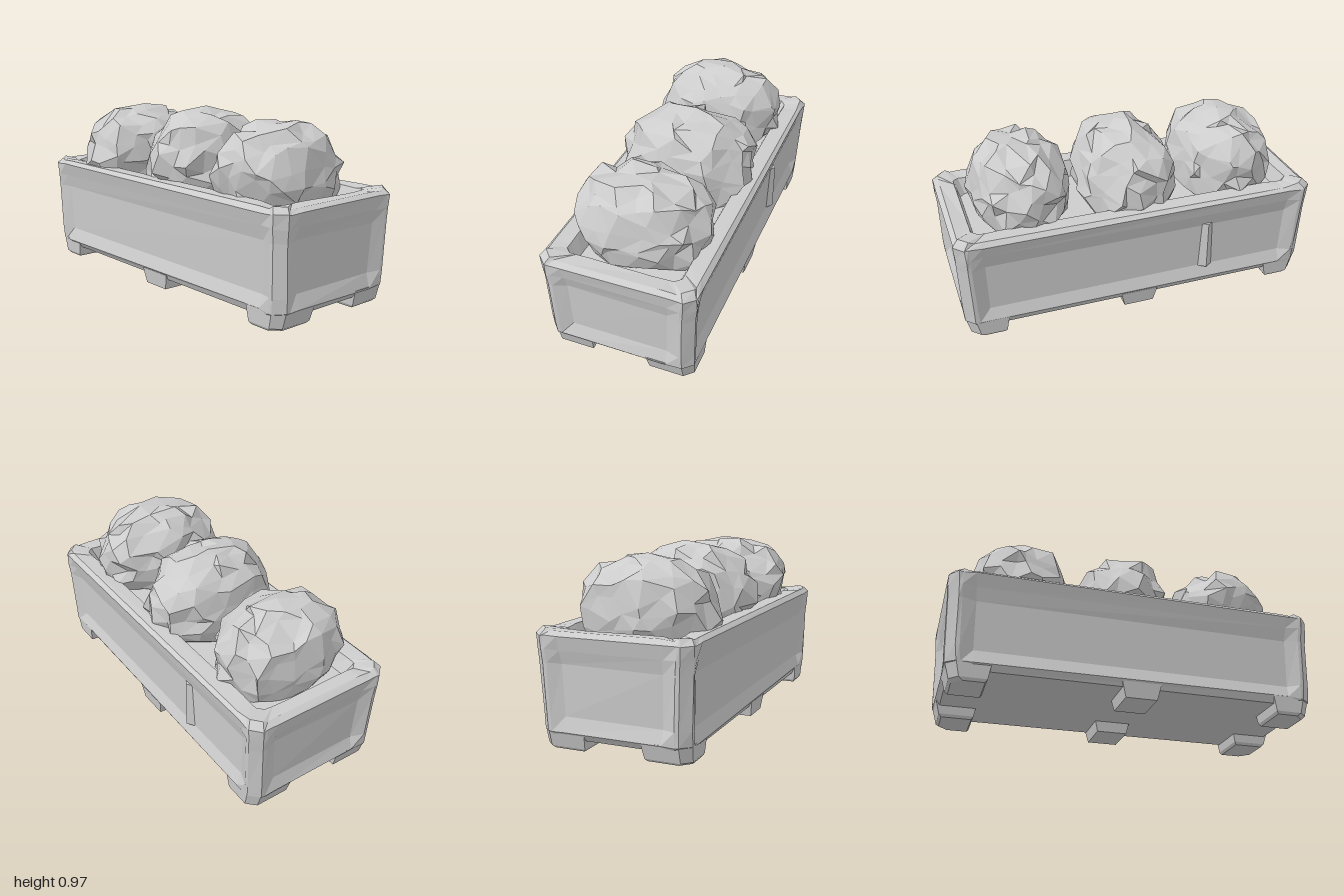
import * as THREE from 'three';
import { mergeVertices } from 'three/addons/utils/BufferGeometryUtils.js';

const stone = new THREE.MeshStandardMaterial({ color: 0xcccccc, flatShading: true });
stone.name = 'pale grey stone';

// repeatable value in -1..1 from a position
function hash(x, y, z, seed) {
  const s = Math.sin(x * 127.1 + y * 311.7 + z * 74.7 + seed * 53.3) * 43758.5453;
  return 2 * (s - Math.floor(s)) - 1;
}

function addMesh(group, name, geometry) {
  geometry.computeVertexNormals();
  const mesh = new THREE.Mesh(geometry, stone);
  mesh.name = name;
  group.add(mesh);
  return mesh;
}

// chamfered rectangle: sides slope in by d beside the corners, corners rise by lift
function ring({ y, hx, hz, c, d = 0, lift = 0, rough = 0 }) {
  const post = 0.07, slope = 0.07;
  const corner = [
    [hx - d, hz - post - slope, 0], [hx, hz - post, 0], [hx, hz - c, lift],
    [hx - c, hz, lift], [hx - post, hz, 0], [hx - post - slope, hz - d, 0],
  ];
  const points = [];
  [[1, 1], [-1, 1], [-1, -1], [1, -1]].forEach(([sx, sz]) => {
    const order = sx * sz > 0 ? corner : [...corner].reverse();
    order.forEach(([x, z, up]) => points.push([
      sx * (x - rough * Math.abs(hash(sx * x, y, sz * z, 1))),
      y + up + rough * hash(sx * x, y, sz * z, 2),
      sz * (z - rough * Math.abs(hash(sx * x, y, sz * z, 3))),
    ]));
  });
  return points;
}

// skin through the rings, closed at both ends
function loft(rings) {
  const n = rings[0].length;
  const last = (rings.length - 1) * n;
  const positions = rings.flat(2);
  for (const end of [rings[0], rings[rings.length - 1]]) {
    for (let a = 0; a < 3; a++) positions.push(end.reduce((sum, p) => sum + p[a], 0) / n);
  }
  const index = [];
  for (let j = 0; j < n; j++) {
    const k = (j + 1) % n;
    for (let r = 0; r < last; r += n) {
      index.push(r + j, r + n + j, r + k, r + k, r + n + j, r + n + k);
    }
    index.push(last + n, j, k, last + n + 1, last + k, last + j);
  }
  const geometry = new THREE.BufferGeometry();
  geometry.setAttribute('position', new THREE.Float32BufferAttribute(positions, 3));
  geometry.setIndex(index);
  return geometry;
}

// foot under a corner post, with its outer edge cut off
function cornerFoot(sx, sz) {
  const level = (y, xo, zo, xi, zi, c) => {
    const points = [[xo, zi], [xo, zo - c], [xo - c, zo], [xi, zo], [xi, zi]]
      .map(([x, z]) => [sx * x, y, sz * z]);
    return sx * sz > 0 ? points : points.reverse();
  };
  return loft([
    level(0.005, 0.935, 0.38, 0.775, 0.17, 0.05),
    level(0.02, 0.95, 0.39, 0.765, 0.16, 0.045),
    level(0.105, 0.974, 0.395, 0.75, 0.15, 0.05),
  ]);
}

// block narrowing towards the ground
function middleFoot() {
  const geometry = new THREE.BoxGeometry(0.21, 0.085, 0.235);
  const p = geometry.attributes.position;
  for (let i = 0; i < p.count; i++) {
    if (p.getY(i) < 0) p.setXYZ(i, p.getX(i) * 0.8, p.getY(i), p.getZ(i) * 0.9);
  }
  return geometry;
}

// coarse, crumpled clump of leaves
function bushGeometry(seed, ry, rz) {
  let geometry = new THREE.IcosahedronGeometry(1, 3);
  geometry.deleteAttribute('normal');
  geometry.deleteAttribute('uv');
  geometry = mergeVertices(geometry, 1e-3);
  const p = geometry.attributes.position;
  const v = new THREE.Vector3();
  for (let i = 0; i < p.count; i++) {
    v.fromBufferAttribute(p, i);
    const shift = new THREE.Vector3(
      hash(v.x, v.y, v.z, seed), hash(v.x, v.y, v.z, seed + 1), hash(v.x, v.y, v.z, seed + 2));
    const boxy = Math.pow(v.x ** 4 + v.y ** 4 + v.z ** 4, -0.04);
    const lump = boxy * (0.985 + 0.085 * hash(v.x, v.y, v.z, seed + 3));
    shift.addScaledVector(v, -shift.dot(v)); // slide along the surface
    v.multiplyScalar(lump).addScaledVector(shift, 0.12);
    p.setXYZ(i, v.x * 0.268, Math.max(v.y * ry, -0.17), v.z * rz);
  }
  return geometry;
}

export function createModel() {
  const model = new THREE.Group();
  model.name = 'planter';

  // trough with worn, hollowed sides, rim and soil floor
  addMesh(model, 'trough', loft([
    { y: 0.065, hx: 0.95, hz: 0.375, c: 0.06 },
    { y: 0.1, hx: 0.98, hz: 0.4, c: 0.05, rough: 0.006 },
    { y: 0.175, hx: 0.985, hz: 0.402, c: 0.05, d: 0.028, rough: 0.006 },
    { y: 0.44, hx: 0.993, hz: 0.41, c: 0.05, d: 0.026, rough: 0.006 },
    { y: 0.51, hx: 0.998, hz: 0.416, c: 0.05, d: 0.012, rough: 0.006 },
    { y: 0.578, hx: 1, hz: 0.418, c: 0.05, rough: 0.005 },
    { y: 0.598, hx: 0.97, hz: 0.395, c: 0.045, lift: 0.015, rough: 0.006 },
    { y: 0.595, hx: 0.895, hz: 0.31, c: 0.03, rough: 0.005 },
    { y: 0.51, hx: 0.865, hz: 0.27, c: 0.03 },
  ].map(ring)));

  // worn ridge across the back panel
  const ridge = addMesh(model, 'backRidge', new THREE.CylinderGeometry(0.03, 0.03, 0.28, 3));
  ridge.position.set(-0.38, 0.31, -0.37);
  ridge.rotation.y = Math.PI;
  ridge.scale.x = 2.5;

  // six feet
  for (const sz of [-1, 1]) {
    for (const sx of [-1, 1]) addMesh(model, 'cornerFoot', cornerFoot(sx, sz));
    addMesh(model, 'middleFoot', middleFoot()).position.set(0.015, 0.05, sz * 0.275);
  }

  // three bushes
  [
    [-0.595, 0.02, 0.278, 0.36],
    [-0.01, -0.005, 0.29, 0.37],
    [0.575, 0.01, 0.282, 0.365],
  ].forEach(([x, z, ry, rz], i) => {
    const bush = addMesh(model, 'bush', bushGeometry(7 + i * 11, ry, rz));
    bush.position.set(x, 0.665, z);
  });

  return model;
}
